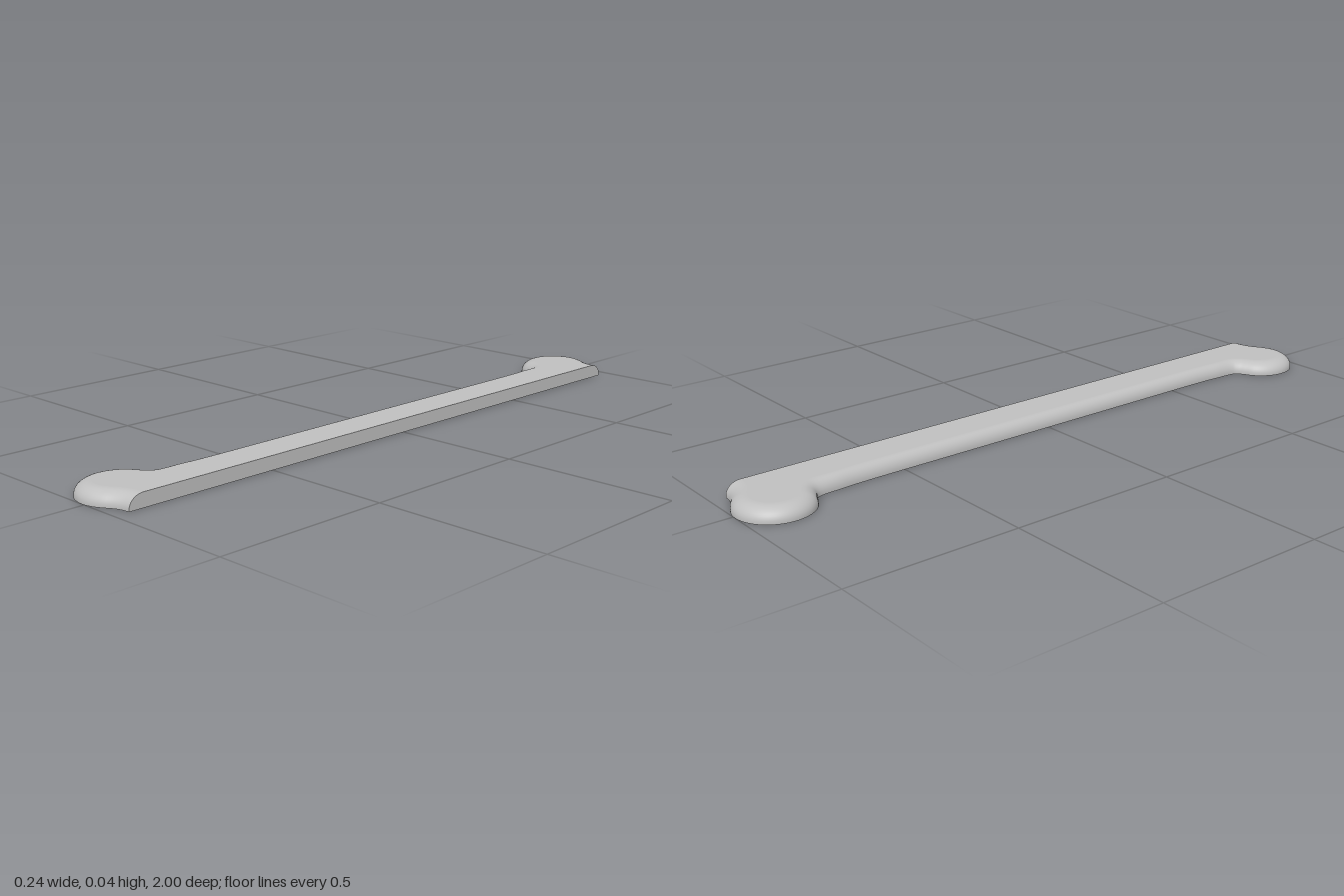
import * as THREE from 'three';

const FLAT_X = 0.12, HEIGHT = 0.04, BASE = 0.004;
const STEPS = 260, ROWS = 10;

// Half bone outline in plan (x, z): shoulder, round knob, fillet, shaft; mirrored in z
function outlineCurve() {
  const half = [[0.12, 0.957], [0.095, 0.96], [0.07, 0.97]];
  for (let a = 60; a <= 250; a += 19) {
    const r = THREE.MathUtils.degToRad(a);
    half.push([-0.01 + 0.11 * Math.cos(r), 0.89 + 0.11 * Math.sin(r)]);
  }
  half.push([-0.026, 0.768], [-0.02, 0.7], [-0.016, 0.6], [-0.016, 0.3]);
  const mirrored = half.map(([x, z]) => [x, -z]).reverse();
  return new THREE.SplineCurve([...half, [-0.016, 0], ...mirrored].map(([x, z]) => new THREE.Vector2(x, z)));
}

// Rings follow the outline, inset along its normals by a quarter-ellipse profile
function buildRings() {
  const curve = outlineCurve();
  const profile = [[0, 0]];
  for (let j = 0; j <= ROWS; j++) {
    const a = (j / ROWS) * Math.PI / 2;
    profile.push([1 - Math.cos(a), BASE + (HEIGHT - BASE) * Math.sin(a)]);
  }
  return profile.map(([inset, y]) => {
    const ring = [];
    for (let i = 0; i <= STEPS; i++) {
      const p = curve.getPointAt(i / STEPS), t = curve.getTangentAt(i / STEPS);
      const width = THREE.MathUtils.lerp(0.03, 0.045, THREE.MathUtils.smoothstep(Math.abs(p.y), 0.7, 0.85));
      const end = i === 0 || i === STEPS;
      const x = end ? FLAT_X : Math.min(FLAT_X, p.x - t.y * inset * width);
      ring.push(new THREE.Vector3(x, y, p.y + t.x * inset * width));
    }
    return ring;
  });
}

function roundedSide(rings) {
  const index = [], n = STEPS + 1;
  for (let j = 0; j < rings.length - 1; j++) {
    for (let i = 0; i < STEPS; i++) {
      const a = j * n + i, b = a + 1, c = a + n, d = c + 1;
      index.push(a, c, b, b, c, d);
    }
  }
  const geometry = new THREE.BufferGeometry().setFromPoints(rings.flat());
  geometry.setIndex(index);
  geometry.computeVertexNormals();
  return geometry;
}

const face = (points, u, v) => new THREE.ShapeGeometry(
  new THREE.Shape(points.map((p) => new THREE.Vector2(u(p), v(p)))));

export function createModel() {
  const group = new THREE.Group();
  group.name = 'halfBoneTrim';
  const grey = new THREE.MeshStandardMaterial({ color: 0xc0c0c0 });
  grey.name = 'grey';
  const add = (name, geometry) => {
    const mesh = new THREE.Mesh(geometry, grey);
    mesh.name = name;
    group.add(mesh);
    return mesh;
  };

  const rings = buildRings();
  add('roundedEdge', roundedSide(rings));

  // Flat top and underside
  add('topFace', face(rings[rings.length - 1], (p) => p.x, (p) => -p.z).rotateX(-Math.PI / 2)).position.y = HEIGHT;
  add('underside', face(rings[0], (p) => p.x, (p) => p.z).rotateX(Math.PI / 2));

  // Straight cut side
  const cut = [...rings.map((r) => r[0]), ...rings.map((r) => r[STEPS]).reverse()];
  add('cutSide', face(cut, (p) => -p.z, (p) => p.y).rotateY(Math.PI / 2)).position.x = FLAT_X;

  return group;
}
